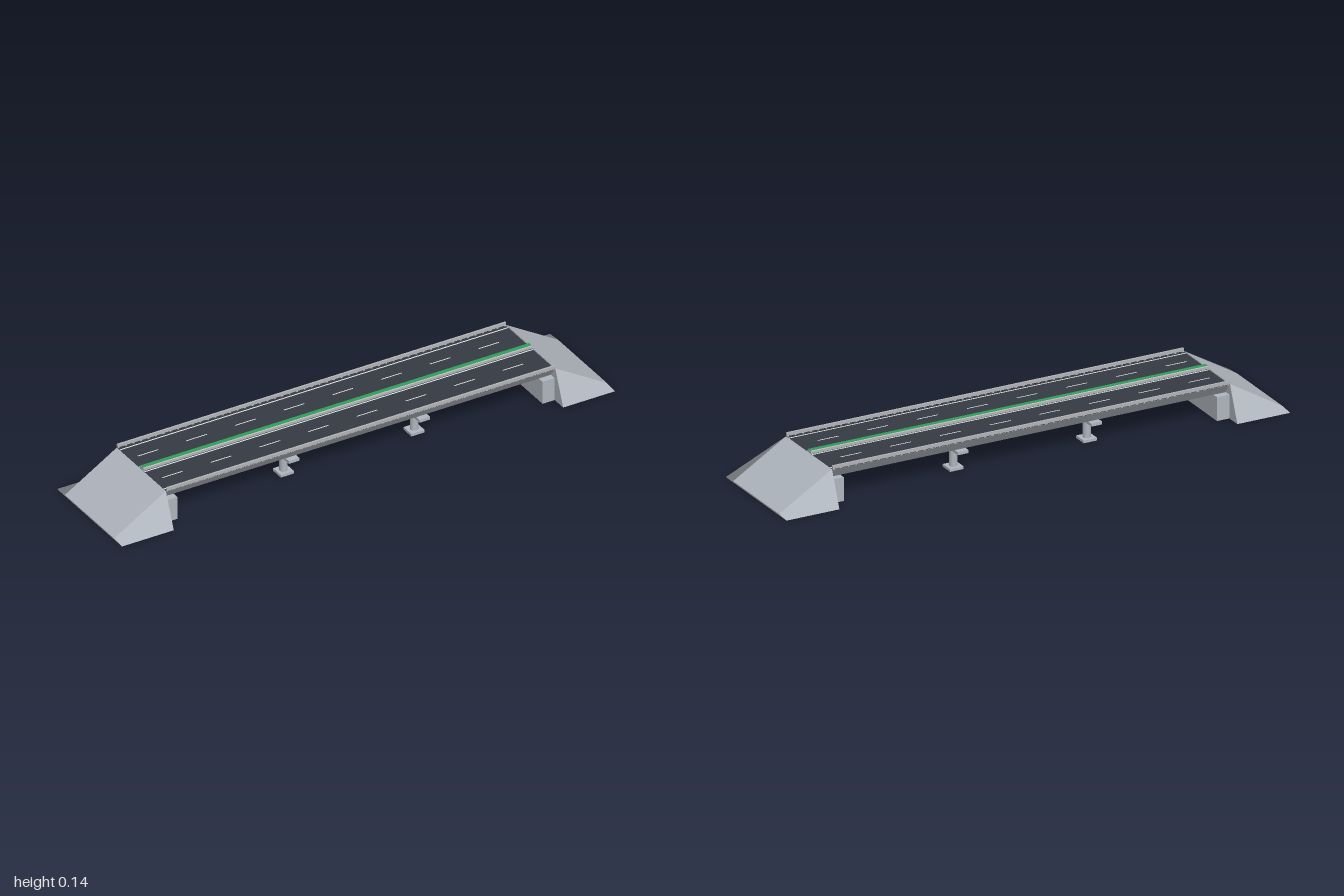
import * as THREE from 'three';

const mat = (name, color) => {
  const m = new THREE.MeshStandardMaterial({ color });
  m.name = name;
  return m;
};

// wedge embankment from quads; each quad keeps one shared normal
function rampGeometry(side) {
  const pt = (x, y, z) => new THREE.Vector3(x * side, y, z);
  const [A, B, C, D] = [pt(0.79, 0.132, 0.167), pt(1, 0.005, 0.167), pt(1, 0, 0.221), pt(0.79, 0, 0.221)];
  const [a, b, c, d] = [A, B, C, D].map((v) => v.clone().setZ(-v.z));
  const quads = [
    [A, B, b, a], // slope
    [A, D, C, B], // front flank
    [b, c, d, a], // back flank
    [B, C, c, b], // toe
    [D, A, a, d], // inner wall
    [C, D, d, c], // base
  ];
  const pos = [], nor = [];
  for (const q of quads) {
    const [p, r, s, t] = side > 0 ? q : [q[0], q[3], q[2], q[1]];
    const n = s.clone().sub(p).cross(t.clone().sub(r)).normalize();
    for (const v of [p, r, s, p, s, t]) {
      pos.push(v.x, v.y, v.z);
      nor.push(n.x, n.y, n.z);
    }
  }
  const geo = new THREE.BufferGeometry();
  geo.setAttribute('position', new THREE.Float32BufferAttribute(pos, 3));
  geo.setAttribute('normal', new THREE.Float32BufferAttribute(nor, 3));
  return geo;
}

export function createModel() {
  const concrete = mat('concrete', 0xb0b6be);
  const asphalt = mat('asphalt', 0x363b43);
  const paint = mat('whitePaint', 0xf0f2f4);
  const green = mat('green', 0x2fa05a);
  const steel = mat('railGrey', 0xb2b4b7);

  const half = 0.788;
  const top = 0.13;
  const group = new THREE.Group();
  const add = (name, geo, material, x = 0, y = 0, z = 0) => {
    const mesh = new THREE.Mesh(geo, material);
    mesh.name = name;
    mesh.position.set(x, y, z);
    group.add(mesh);
  };
  // box given by centre x, bottom y, centre z
  const box = (name, material, w, h, d, x, y, z) =>
    add(name, new THREE.BoxGeometry(w, h, d), material, x, y + h / 2, z);
  // symmetric section (right half, bottom to top) swept along the deck
  const sweep = (name, material, section, y) => {
    const mirrored = section.map(([u, v]) => [-u, v]).reverse();
    const shape = new THREE.Shape([...section, ...mirrored].map(([u, v]) => new THREE.Vector2(u, v)));
    const geo = new THREE.ExtrudeGeometry(shape, { depth: half * 2, bevelEnabled: false });
    geo.translate(0, 0, -half).rotateY(Math.PI / 2);
    add(name, geo, material, 0, y, 0);
  };

  // deck with inward-leaning sides, road surface on top
  sweep('deckSlab', concrete, [[0.137, 0], [0.167, 0.039]], 0.09);
  box('roadSurface', asphalt, half * 2, 0.002, 0.332, 0, 0.1285, 0);

  // central reservation: chamfered kerb and planted strip
  sweep('medianKerb', steel, [[0.0117, 0], [0.0117, 0.01], [0.008, 0.0122]], top);
  box('medianPlanting', green, half * 2, 0.0015, 0.016, 0, 0.142, 0);

  for (const side of [1, -1]) {
    // lane markings
    box('edgeLine', paint, half * 2, 0.001, 0.005, 0, top, side * 0.15);
    box('innerLine', paint, half * 2, 0.001, 0.005, 0, top, side * 0.018);
    for (let i = 0; i < 8; i++) {
      box('laneDash', paint, 0.083, 0.001, 0.004, -0.022 + (i - 3.5) * 0.1975, top, side * 0.083);
    }

    // guard rail on short posts
    box('guardRail', steel, half * 2, 0.012, 0.007, 0, 0.133, side * 0.167);
    for (let i = 0; i <= 52; i++) {
      box('railPost', steel, 0.006, 0.006, 0.005, (i / 26 - 1) * 0.784, 0.128, side * 0.1645);
    }

    // end embankment and abutment
    add('endRamp', rampGeometry(side), concrete);
    box('abutment', concrete, 0.05, 0.09, 0.326, side * 0.766, 0, 0);

    // pier: crossbeam on two columns with footings
    const x = side * 0.265;
    box('pierCap', concrete, 0.043, 0.011, 0.32, x, 0.079, 0);
    for (const z of [0.087, -0.087]) {
      add('pierColumn', new THREE.CylinderGeometry(0.015, 0.015, 0.072, 16), concrete, x, 0.045, z);
      box('pierFooting', concrete, 0.054, 0.01, 0.054, x, 0, z);
    }
  }
  return group;
}
